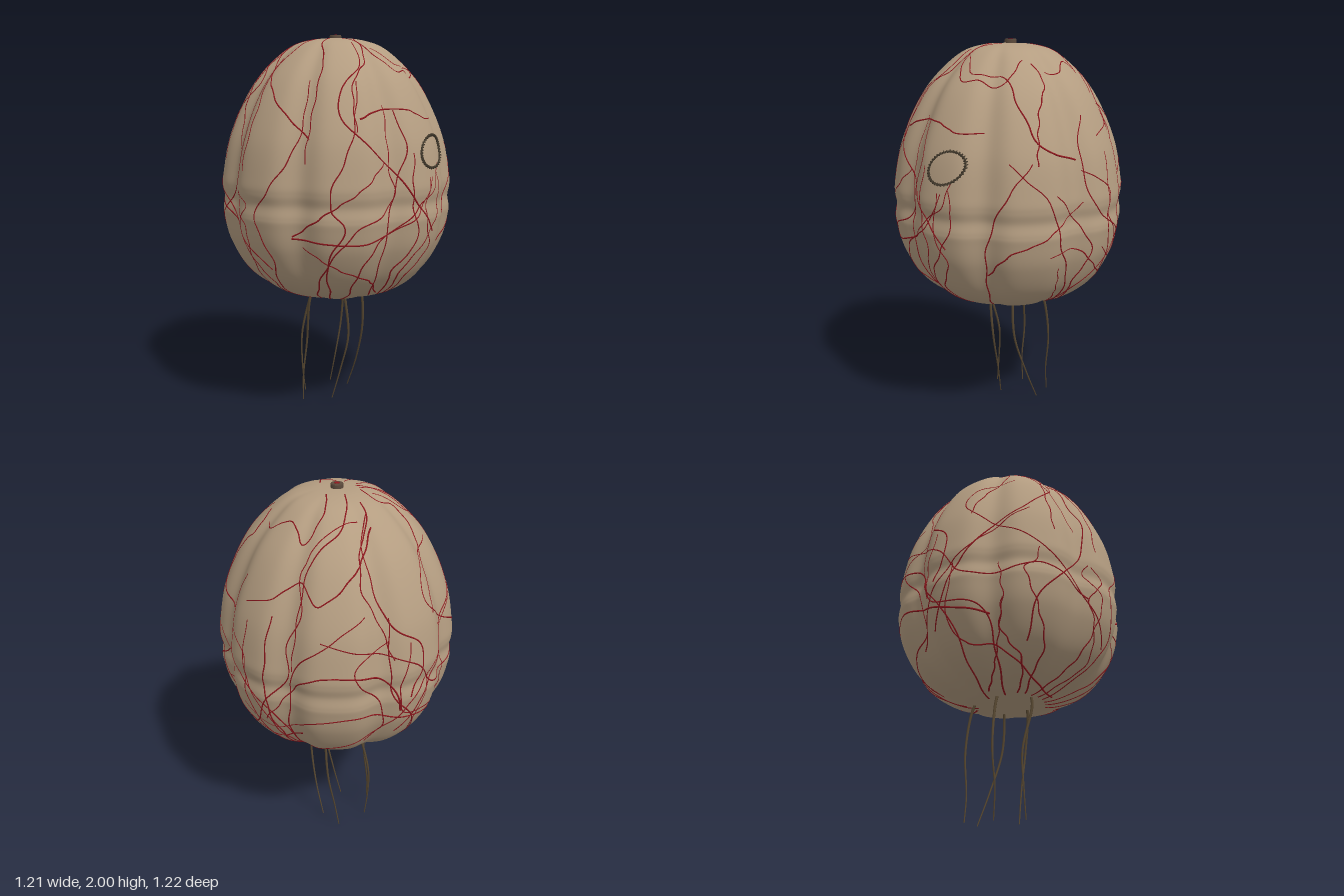
import * as THREE from 'three';
import { mergeVertices, mergeGeometries } from 'three/addons/utils/BufferGeometryUtils.js';

const mat = (name, color) => Object.assign(new THREE.MeshStandardMaterial({ color }), { name });
const V = (x, y, z) => new THREE.Vector3(x, y, z);

// Body outline from bottom to top: radius, height
const profile = new THREE.SplineCurve([
  [0, 0.628], [0.12, 0.632], [0.24, 0.648], [0.38, 0.705], [0.49, 0.80], [0.57, 0.945], [0.6, 1.07], [0.603, 1.115],
  [0.595, 1.17], [0.604, 1.225], [0.6, 1.29], [0.563, 1.475], [0.48, 1.67], [0.385, 1.81], [0.25, 1.93],
  [0.13, 1.972], [0, 1.98],
].map(p => new THREE.Vector2(...p)));

// Eight full lobes split by narrow grooves
const lobe = (a, r) => 1 - 0.066 * Math.sin(4 * a) ** 6 * Math.min(1, r / 0.3);
function surface(a, t) {
  const p = profile.getPoint(t), r = p.x * lobe(a, p.x);
  return V(Math.sin(a) * r, p.y, Math.cos(a) * r);
}
function solve(low, high, test) {
  for (let i = 0; i < 26; i++) {
    const m = (low + high) / 2;
    if (test(profile.getPoint(m))) high = m; else low = m;
  }
  return (low + high) / 2;
}
function inside(p) {
  if (p.y < 0.63 || p.y > 1.979) return false;
  const r = profile.getPoint(solve(0, 1, q => q.y > p.y)).x;
  return Math.hypot(p.x, p.z) < r * lobe(Math.atan2(p.x, p.z), r);
}

// Surface point met by a ray at offset (u, v) from direction azimuth, elevation
function project(az, el, u, v) {
  const s = Math.sin(az), c = Math.cos(az), se = Math.sin(el), ce = Math.cos(el);
  const at = d => V(c * u - se * s * v + ce * s * d, ce * v + se * d, -s * u - se * c * v + ce * c * d);
  for (let d = 2.4; d > -1.5; d -= 0.04) {
    if (!inside(at(d))) continue;
    let near = d, far = d + 0.04;
    for (let i = 0; i < 10; i++) {
      const m = (near + far) / 2;
      if (inside(at(m))) near = m; else far = m;
    }
    return at(near);
  }
  return project(az, el, u * 0.97, v + (1.3 * ce - v) * 0.03);
}

// Tube whose radius runs from r0 to r1
function taperedTube(points, r0, r1, n, sides) {
  const curve = new THREE.CatmullRomCurve3(points);
  const g = new THREE.TubeGeometry(curve, n, 1, sides, false);
  const pos = g.attributes.position, v = V(0, 0, 0);
  for (let i = 0; i <= n; i++) {
    const c = curve.getPointAt(i / n), r = r0 + (r1 - r0) * i / n;
    for (let j = 0; j <= sides; j++) {
      const k = i * (sides + 1) + j;
      v.fromBufferAttribute(pos, k).sub(c).multiplyScalar(r).add(c);
      pos.setXYZ(k, v.x, v.y, v.z);
    }
  }
  return g;
}

// Resample a path so that it hugs the lobed surface, sunk slightly into it
function hug(points) {
  const centre = V(0, 1.28, 0);
  return new THREE.CatmullRomCurve3(points).getSpacedPoints(56).map((p, i) => {
    const a = Math.atan2(p.x, p.z) + 0.009 * Math.sin(i * 0.7 + p.y * 9);
    const d = Math.hypot(p.x, p.z);
    const t = p.y > 1.75 ? solve(0.6, 1, q => q.x * lobe(a, q.x) < d)
      : p.y < 0.8 ? solve(0, 0.4, q => q.x * lobe(a, q.x) > d)
      : solve(0.06, 0.94, q => q.y > p.y);
    const s = surface(a, t);
    return s.addScaledVector(centre.clone().sub(s).normalize(), 0.0022);
  });
}

const frontVeins = [
  [[-.1, 1.95], [-.2, 1.82], [-.33, 1.72], [-.38, 1.58], [-.28, 1.42], [-.16, 1.28], [-.06, 1.14], [.04, 1.03]],
  [[-.24, 1.38], [-.36, 1.27], [-.48, 1.15], [-.53, 1.03]],
  [[-.14, 1.62], [-.13, 1.45], [-.2, 1.25], [-.23, 1], [-.2, .8], [-.1, .68]],
  [[-.05, 1.92], [.03, 1.84], [.17, 1.83], [.28, 1.72], [.35, 1.62], [.42, 1.52], [.5, 1.45]],
  [[.4, 1.45], [.3, 1.25], [.22, 1.05], [.18, .85], [.1, .68]],
  [[.02, 1.3], [-.08, 1.13], [-.2, 1.05], [-.35, 1], [-.53, 1.02]],
  [[.06, 1.32], [.07, 1.15], [-.02, .98], [-.1, .85], [-.03, .68]],
  [[0, 1.3], [-.03, 1.1], [.03, .95], [-.05, .8], [0, .68]],
  [[-.1, 1.42], [-.12, 1.2], [-.08, 1], [-.14, .85], [-.06, .68]],
  [[-.5, .98], [-.4, .87], [-.25, .8], [-.1, .7]],
  [[.55, 1.25], [.46, 1.09], [.33, 1.02], [.2, .9]],
  [[.17, 1.58], [.05, 1.58], [-.06, 1.62], [-.2, 1.62], [-.32, 1.58]],
];
const rightVeins = [
  [[.25, 1.9], [.18, 1.72], [.24, 1.55], [.2, 1.4], [.22, 1.25], [.12, 1.1], [.05, .95], [-.1, .8], [-.1, .68]],
  [[-.47, 1.45], [-.36, 1.25], [-.3, 1.05], [-.2, .9], [-.13, .75], [-.08, .68]],
  [[-.1, 1.65], [-.16, 1.5], [-.15, 1.3], [-.1, 1.2], [.05, 1.1], [.15, 1], [.17, .85], [.15, .7]],
  [[-.17, 1.4], [-.02, 1.3], [0, 1.15], [.1, 1], [.13, .85], [.15, .7]],
  [[.45, 1.55], [.35, 1.4], [.25, 1.3], [.22, 1.1], [.18, .9], [.14, .7]],
  [[-.33, 1.3], [-.22, 1.18], [-.12, 1], [-.14, .85], [-.05, .68]],
  [[-.05, 1.55], [.1, 1.6], [.2, 1.68], [.3, 1.6], [.37, 1.72], [.3, 1.88]],
  [[.52, 1.42], [.48, 1.3], [.52, 1.1], [.5, .93], [.35, .8], [.2, .75]],
  [[-.35, 1], [-.2, 1.02], [-.05, .9], [.1, .83], [.25, .9]],
];
const crownVeins = [
  [[-.07, .08], [-.2, .13], [-.32, .22], [-.4, .3], [-.47, .35]],
  [[-.1, .03], [-.25, .03], [-.38, .09], [-.5, .08], [-.58, .11]],
  [[-.08, -.03], [-.2, -.08], [-.28, -.16], [-.42, -.22], [-.5, -.23]],
  [[-.06, -.06], [-.07, -.2], [-.15, -.3], [-.28, -.34], [-.35, -.42]],
  [[.02, -.09], [-.06, -.18], [-.06, -.32], [0, -.39], [.08, -.37], [.2, -.33], [.21, -.2]],
  [[-.06, .1], [-.06, .2], [-.14, .23], [-.18, .35], [-.13, .47], [-.1, .55]],
  [[.03, .19], [.07, .27], [.16, .32], [.24, .41], [.2, .47], [.16, .55]],
  [[.04, .1], [.13, .2], [.22, .24], [.35, .21], [.47, .23], [.53, .24]],
  [[.1, .04], [.2, .13], [.33, .13], [.3, .02], [.34, -.08], [.3, -.14]],
  [[.25, -.18], [.33, -.2], [.37, -.3], [.42, -.39]],
  [[-.09, .05], [-.24, .22], [-.36, .25], [-.5, .2]],
];
const backLeftVeins = [
  [[-.02, 1.74], [.02, 1.61], [.17, 1.49], [.15, 1.36], [.03, 1.19], [-.16, 1.05], [-.3, .89], [-.4, .67]],
  [[.19, 1.63], [.28, 1.33], [.33, 1.22], [.31, 1], [.22, .84], [.09, .7], [.03, .54]],
  [[0, 1.46], [-.21, 1.38], [-.27, 1.25], [-.16, 1.11], [.03, .97], [.25, .84], [.52, .56]],
  [[.03, 1.79], [.09, 1.66], [.22, 1.55], [.39, 1.44], [.52, 1.33]],
  [[-.19, 1.71], [-.3, 1.63], [-.38, 1.49], [-.43, 1.27], [-.36, 1.05], [-.42, .85]],
  [[-.57, 1.33], [-.46, 1.11], [-.4, 1], [-.3, .84], [-.1, .8], [.1, .84], [.35, .78]],
  [[.04, 1.17], [-.24, .97], [-.4, .84], [-.46, .67]],
];
const backRightVeins = [
  [[-.4, 1.05], [-.21, 1.37], [-.02, 1.41], [.17, 1.33], [.25, 1.16]],
  [[-.5, 1.05], [-.35, 1], [-.19, 1.14], [.03, 1.19], [.25, 1.11], [.44, .95]],
  [[-.46, 1.49], [-.49, 1.16], [-.4, .95], [-.24, .78], [-.1, .64]],
  [[-.35, 1.57], [-.4, 1.22], [-.32, .95], [-.13, .67]],
  [[.17, 1.6], [.2, 1.27], [.33, 1], [.25, .78], [.06, .64]],
  [[.28, 1.49], [.25, 1.16], [.44, 1], [.36, .78], [.14, .62]],
  [[.39, 1.27], [.31, .95], [.39, .73], [.17, .54]],
  [[.5, 1], [.36, .78], [.14, .66]],
  [[-.55, .89], [-.4, .73], [-.13, .64]],
];

export function createModel() {
  const model = new THREE.Group();
  const skin = mat('skin', 0xb49d81), blood = mat('veinRed', 0x8e161d);
  const dark = mat('darkStitch', 0x453c2e), cord = mat('tentacleBrown', 0x54452f), nub = mat('stalkBrown', 0x5c4a3c);
  const add = (name, geo, m) => {
    const mesh = new THREE.Mesh(geo, m);
    mesh.name = name;
    model.add(mesh);
    return mesh;
  };

  // Lobed body
  const sphere = new THREE.SphereGeometry(1, 192, 120);
  const pos = sphere.attributes.position;
  for (let i = 0; i < pos.count; i++) {
    const row = Math.floor(i / 193), col = i % 193;
    const p = surface((col % 192) / 192 * Math.PI * 2, 1 - row / 120);
    pos.setXYZ(i, p.x, p.y, p.z);
  }
  sphere.deleteAttribute('uv');
  sphere.deleteAttribute('normal');
  const body = mergeVertices(sphere, 1e-5);
  body.computeVertexNormals();
  add('body', body, skin);

  // Veins, grouped by the side they lie on: azimuth, elevation, radii, paths
  const veins = [];
  const vein = (pts, r0, r1) => veins.push(taperedTube(hug(pts), r0, r1, 80, 6));
  const sides = [
    [0, 0, 0.0034, 0.005, frontVeins], [Math.PI / 2, 0, 0.0034, 0.005, rightVeins],
    [0, Math.PI / 2, 0.004, 0.0036, crownVeins],
    [3.79, 0.4, 0.0035, 0.0048, backLeftVeins], [2.5, -0.38, 0.0034, 0.0055, backRightVeins],
  ];
  for (const [az, el, r0, r1, paths] of sides)
    for (const path of paths) vein(path.map(p => project(az, el, ...p)), r0, r1);

  // Wandering veins climbing the left side
  let seed = 11;
  const rand = () => (seed = (seed * 16807) % 2147483647) / 2147483647;
  for (let i = 0; i < 8; i++) {
    let a = 3.9 + i * 0.22, drift = 0;
    const end = 0.5 + rand() * 0.3, pts = [];
    for (let k = 0; k <= 7; k++) {
      pts.push(surface(a, 0.1 + (end - 0.1) * k / 7));
      drift = drift * 0.5 + (rand() - 0.5) * 0.36;
      a += drift;
    }
    vein(pts, 0.005, 0.0033);
  }
  add('veins', mergeGeometries(veins), blood);

  // Stitched oval on the front
  const oval = (f, k) => {
    const x = 0.1 * k * Math.cos(f), y = 0.072 * k * Math.sin(f), c = Math.cos(0.4), s = Math.sin(0.4);
    return project(0, 0, 0.037 + x * c - y * s, 1.42 + x * s + y * c).add(V(0, 0.002, 0.006));
  };
  const ring = new THREE.CatmullRomCurve3(Array.from({ length: 32 }, (_, i) => oval(i / 16 * Math.PI, 1)), true);
  const stitches = [new THREE.TubeGeometry(ring, 96, 0.0042, 6, true)];
  for (let i = 0; i < 36; i++) {
    const f = i / 18 * Math.PI, mid = oval(f + 0.04, 1).add(V(0, 0, 0.008));
    stitches.push(taperedTube([oval(f, 0.95), mid, oval(f + 0.1, 1.09)], 0.004, 0.003, 6, 5));
  }
  add('stitchedOval', mergeGeometries(stitches), dark);

  // Stalk on the crown with a red centre
  add('stalkBase', new THREE.CylinderGeometry(0.031, 0.031, 0.02, 24), nub).position.set(0.004, 1.985, -0.01);
  add('stalkTop', new THREE.CylinderGeometry(0.029, 0.031, 0.008, 24), nub).position.set(0.004, 1.995, -0.01);
  add('stalkCentre', new THREE.CylinderGeometry(0.013, 0.013, 0.004, 16), blood).position.set(0.004, 1.999, -0.01);

  // Five trailing tentacles
  const tentacles = [
    [[-.14, .68, -.04], [-.165, .6, -.05], [-.135, .35, -.1], [-.15, .15, -.115], [-.157, .01, -.11]],
    [[-.05, .68, .09], [-.05, .6, .105], [-.03, .4, .11], [-.035, .2, .06], [-.05, .02, .01]],
    [[-.02, .68, -.13], [-.02, .6, -.165], [-.04, .35, -.225], [-.05, .15, -.215], [-.038, .003, -.205]],
    [[.09, .68, .09], [.095, .6, .105], [.105, .42, .1], [.135, .2, .03], [.155, .02, -.05]],
    [[.14, .68, -.08], [.17, .6, -.095], [.185, .38, -.125], [.155, .15, -.15], [.147, .015, -.175]],
  ];
  tentacles.forEach((t, i) =>
    add('tentacle' + (i + 1), taperedTube(t.map(p => V(...p)), 0.008, 0.003, 40, 8), cord));
  return model;
}
